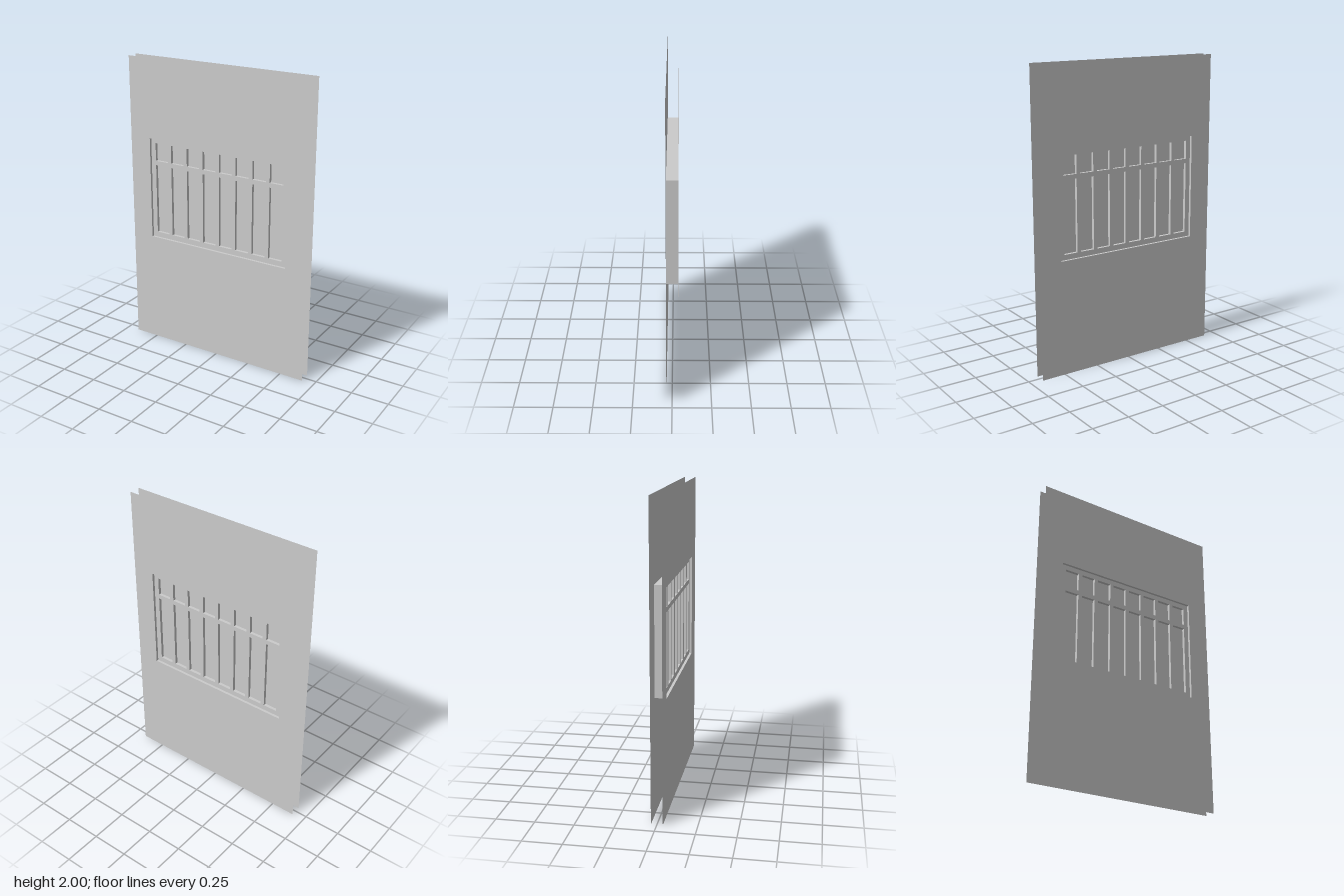
import * as THREE from 'three';

const wallHalf = 0.665, wallTop = 2, wallZ = 0.037;
const win = { x: 0.515, y0: 0.766, y1: 1.465 };
const frameDepth = 0.04;
const bays = 8, bayWidth = 0.097, pitch = 0.1235;
const rows = [[0.801, 1.28], [1.31, 1.433]]; // panes below and above the crossbar

const material = new THREE.MeshStandardMaterial({ color: 0xcccccc, flatShading: true });
const sheet = new THREE.MeshStandardMaterial({ color: 0xcccccc, flatShading: true, side: THREE.DoubleSide });

// Traces a rectangle on a Shape or Path
function rect(path, x0, y0, x1, y1) {
  path.moveTo(x0, y0).lineTo(x1, y0).lineTo(x1, y1).lineTo(x0, y1).closePath();
  return path;
}

function add(group, name, geometry, mat, x = 0, y = 0, z = 0) {
  const mesh = new THREE.Mesh(geometry, mat);
  mesh.name = name;
  mesh.position.set(x, y, z);
  group.add(mesh);
  return mesh;
}

export function createModel() {
  const model = new THREE.Group();
  model.name = 'wallWithWindow';

  // Two thin wall faces with a window hole
  const wall = rect(new THREE.Shape(), -wallHalf, 0, wallHalf, wallTop);
  wall.holes.push(rect(new THREE.Path(), -win.x, win.y0, win.x, win.y1));
  const wallGeometry = new THREE.ShapeGeometry(wall);
  add(model, 'wallFront', wallGeometry, sheet, 0, 0, wallZ);
  add(model, 'wallBack', wallGeometry, sheet, 0, 0, -wallZ).rotation.y = Math.PI;

  // Reveal lining the hole between the wall faces
  const reveal = new THREE.Group();
  reveal.name = 'windowReveal';
  model.add(reveal);
  const height = win.y1 - win.y0, midY = (win.y0 + win.y1) / 2;
  for (const s of [-1, 1]) {
    add(reveal, s < 0 ? 'revealRight' : 'revealLeft',
      new THREE.PlaneGeometry(2 * wallZ, height), sheet, s * win.x, midY).rotation.y = -s * Math.PI / 2;
    add(reveal, s < 0 ? 'revealSill' : 'revealHead',
      new THREE.PlaneGeometry(2 * win.x, 2 * wallZ), sheet, 0, midY + s * height / 2).rotation.x = s * Math.PI / 2;
  }

  // Recessed frame with mullions and a crossbar
  const frame = rect(new THREE.Shape(), -win.x, win.y0, win.x, win.y1);
  for (let i = 0; i < bays; i++) {
    const x = (i - (bays - 1) / 2) * pitch;
    for (const [y0, y1] of rows) {
      frame.holes.push(rect(new THREE.Path(), x - bayWidth / 2, y0, x + bayWidth / 2, y1));
    }
  }
  const frameGeometry = new THREE.ExtrudeGeometry(frame, { depth: frameDepth, bevelEnabled: false });
  add(model, 'windowFrame', frameGeometry, material, 0, 0, -frameDepth / 2);

  // Pane filling the openings
  add(model, 'windowPane', new THREE.PlaneGeometry(2 * win.x - 0.04, height - 0.04), sheet, 0, midY);

  return model;
}
